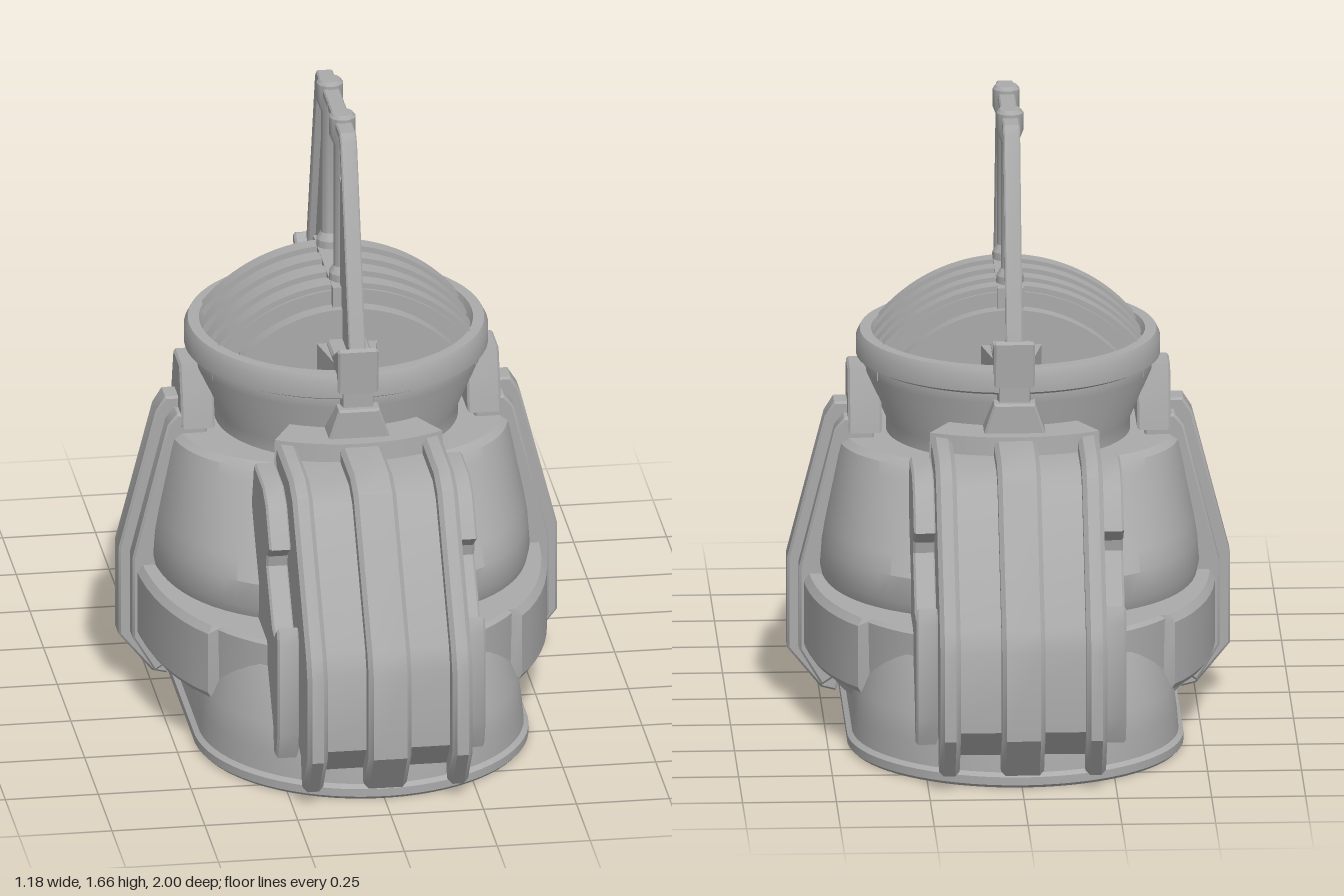
import * as THREE from 'three';
import { toCreasedNormals } from 'three/addons/utils/BufferGeometryUtils.js';

const metal = new THREE.MeshStandardMaterial({ color: 0xaaaaaa });
metal.name = 'grey metal';

function add(parent, name, geo, crease = 0.5) {
  const mesh = new THREE.Mesh(toCreasedNormals(geo, crease), metal);
  mesh.name = name;
  parent.add(mesh);
  return mesh;
}

// Point on a stadium (n = 0) or a superellipse of exponent n, optionally cut at |z| = clip
function outline(t, hx, hz, n, clip) {
  const c = Math.cos(t), s = Math.sin(t);
  if (!n) return [hx * c, hx * s + Math.sign(s) * (hz - hx)];
  const x = hx * Math.sign(c) * Math.abs(c) ** (2 / n);
  const z = hz * Math.sign(s) * Math.abs(s) ** (2 / n);
  return [x, THREE.MathUtils.clamp(z, -clip, clip)];
}

// Capped skin through horizontal sections [y, halfX, halfZ]
function loft(sections, n = 0, clip = 9, seg = 72) {
  const pos = [], idx = [];
  sections.forEach(([y, hx, hz]) => {
    for (let j = 0; j < seg; j++) {
      const [x, z] = outline(((j + 0.5) / seg) * Math.PI * 2, hx, hz, n, clip);
      pos.push(x, y, z);
    }
  });
  const last = (sections.length - 1) * seg, mid = sections.length * seg;
  pos.push(0, sections[0][0], 0, 0, sections.at(-1)[0], 0);
  for (let j = 0; j < seg; j++) {
    const k = (j + 1) % seg;
    for (let i = 0; i < last; i += seg) {
      idx.push(i + j, i + seg + j, i + k, i + k, i + seg + j, i + seg + k);
    }
    idx.push(mid, j, k, mid + 1, last + k, last + j);
  }
  const geo = new THREE.BufferGeometry();
  geo.setAttribute('position', new THREE.Float32BufferAttribute(pos, 3));
  geo.setIndex(idx);
  return geo;
}

// Plate from a side outline of [distance outward, height]; it faces +x, or +z when turned
function slab(pts, width, bevel = 0, turned = true) {
  const shape = new THREE.Shape(pts.map(p => new THREE.Vector2(...p)));
  const geo = new THREE.ExtrudeGeometry(shape, {
    depth: width - 2 * bevel, bevelEnabled: bevel > 0, bevelSize: bevel,
    bevelThickness: bevel, bevelOffset: -bevel, bevelSegments: 1,
  });
  geo.translate(0, 0, bevel - width / 2);
  return turned ? geo.rotateY(-Math.PI / 2) : geo;
}

function lathe(pts, seg = 48) {
  return new THREE.LatheGeometry(pts.map(p => new THREE.Vector2(...p)), seg);
}

// Front arm: heavy ribs, recessed filling and notched cheek plates
function buildArm() {
  const arm = new THREE.Group();
  const rib = [[0.36, 0.7], [0.6, 0.2], [0.86, 0.12], [0.88, 0.04], [0.91, 0.04], [1, 0.16],
    [1, 0.4], [0.975, 0.46], [0.72, 0.81], [0.65, 0.84], [0.42, 0.84]];
  const fill = [[0.36, 0.7], [0.6, 0.2], [0.84, 0.1], [0.88, 0.09], [0.95, 0.17],
    [0.95, 0.39], [0.925, 0.45], [0.69, 0.77], [0.63, 0.8], [0.4, 0.8]];
  const cheek = [[0.34, 0.6], [0.5, 0.2], [0.76, 0.1], [0.81, 0.1], [0.84, 0.18], [0.84, 0.44],
    [0.82, 0.48], [0.77, 0.44], [0.735, 0.45], [0.63, 0.58], [0.635, 0.61], [0.69, 0.65],
    [0.62, 0.75], [0.56, 0.78], [0.4, 0.78]];
  add(arm, 'armFilling', slab(fill, 0.4));
  add(arm, 'armCentreRib', slab(rib, 0.115, 0.012));
  for (const s of [-1, 1]) {
    add(arm, 'armOuterRib', slab(rib, 0.055, 0.012)).position.x = s * 0.195;
    add(arm, 'armCheekPlate', slab(cheek, 0.06, 0.006)).position.x = s * 0.25;
  }
  add(arm, 'armLedge', new THREE.CylinderGeometry(0.47, 0.48, 0.12, 20, 1, false, -0.5, 1))
    .position.y = 0.79;
  return arm;
}

// Side rib: wide strap with a narrow raised spine
function buildSideRib() {
  const rib = new THREE.Group();
  const spine = [[0.38, 0.7], [0.46, 0.3], [0.44, 0.1], [0.46, 0.03], [0.5, 0.04], [0.59, 0.15],
    [0.59, 0.4], [0.49, 0.79], [0.465, 0.83], [0.38, 0.83]];
  const strap = [[0.36, 0.7], [0.44, 0.3], [0.44, 0.1], [0.5, 0.06], [0.56, 0.16],
    [0.56, 0.39], [0.465, 0.77], [0.44, 0.8], [0.36, 0.8]];
  add(rib, 'sideRibSpine', slab(spine, 0.075, 0.006, false));
  add(rib, 'sideRibStrap', slab(strap, 0.18, 0.006, false));
  return rib;
}

// Tapered clasp holding the neck
function buildClasp() {
  const shape = [[-0.1, 0.76], [0.1, 0.76], [0.085, 0.84], [0.055, 0.93], [-0.055, 0.93], [-0.085, 0.84]];
  return slab(shape, 0.09, 0.006, false).translate(0, 0, 0.385);
}

// One half of the antenna frame, on the +z side
function buildMast() {
  const mast = new THREE.Group();
  const column = lathe([[0.036, 1.14], [0.036, 1.2], [0.024, 1.22], [0.024, 1.57], [0.036, 1.6],
    [0.036, 1.65], [0.028, 1.66], [0, 1.66]], 20);
  add(mast, 'mastColumn', column).position.z = 0.115;
  const strut = [[0, 1.618], [0.2, 1.618], [0.215, 1.605], [0.37, 1.06], [0.4, 1.06],
    [0.235, 1.62], [0.215, 1.642], [0, 1.642]];
  add(mast, 'mastStrut', slab(strut, 0.045, 0.004));
  const fin = [[0.155, 1], [0.32, 1], [0.3, 1.1], [0.2, 1.44], [0.18, 1.475], [0.15, 1.485]];
  add(mast, 'mastFin', slab(fin, 0.024));
  const foot = [[0.2, 0.97], [0.41, 0.97], [0.415, 1.09], [0.4, 1.095], [0.3, 1.04], [0.2, 1.04]];
  add(mast, 'mastFoot', slab(foot, 0.11, 0.006));
  // gusset widening towards the drum
  const gusset = new THREE.Shape([[-0.085, 0.18], [0.085, 0.18], [0.04, 0.41], [-0.04, 0.41]]
    .map(p => new THREE.Vector2(...p)));
  const gussetGeo = new THREE.ExtrudeGeometry(gusset, { depth: 0.1, bevelEnabled: false });
  add(mast, 'mastGusset', gussetGeo.rotateX(Math.PI / 2)).position.y = 1.03;
  return mast;
}

// Arched slice of the drum that sits in the collar
function drumSlice(radius, width) {
  const shape = new THREE.Shape();
  const a = Math.asin(0.26 / radius), x = radius * Math.cos(a);
  shape.moveTo(-x, 0.92);
  shape.lineTo(x, 0.92);
  shape.absarc(0, 0.74, radius, a, Math.PI - a, false);
  const geo = new THREE.ExtrudeGeometry(shape, { depth: width, bevelEnabled: false, curveSegments: 28 });
  return geo.translate(0, 0, -width / 2);
}

export function createModel() {
  const model = new THREE.Group();
  model.name = 'domedMachine';

  // Foot with a recessed underside
  add(model, 'foot', loft([[0.06, 0.36, 0.79], [0.02, 0.37, 0.8], [0, 0.38, 0.81], [0, 0.44, 0.885],
    [0.008, 0.448, 0.892], [0.03, 0.448, 0.892], [0.04, 0.435, 0.88], [0.1, 0.43, 0.875],
    [0.17, 0.42, 0.865], [0.3, 0.38, 0.78]]));
  add(model, 'undersideHub', lathe([[0, 0.015], [0.18, 0.015], [0.195, 0.025], [0.195, 0.07]]));
  for (const s of [-1, 1]) {
    add(model, 'undersideStep', new THREE.BoxGeometry(0.05, 0.05, 0.8)).position.set(s * 0.35, 0.045, 0);
  }

  // Hull: lower skirt, waist band with a thicker middle, tapering shell
  add(model, 'skirt', loft([[0.1, 0.48, 0.62], [0.18, 0.5, 0.65]], 2.3, 0.5));
  add(model, 'waistBand', loft([[0.17, 0.52, 0.73], [0.36, 0.525, 0.73], [0.37, 0.515, 0.72]], 2.3));
  add(model, 'waistPanel', loft([[0.165, 0.54, 0.74], [0.18, 0.55, 0.75], [0.35, 0.55, 0.75],
    [0.37, 0.535, 0.735]], 2.3, 0.53));
  add(model, 'shell', loft([[0.36, 0.5, 0.54], [0.4, 0.508, 0.56], [0.47, 0.503, 0.56],
    [0.52, 0.495, 0.52], [0.6, 0.48, 0.455], [0.7, 0.462, 0.385], [0.73, 0.455, 0.365],
    [0.745, 0.435, 0.345]], 2.4));

  // Neck, collar and dish
  add(model, 'neckAndCollar', lathe([[0.325, 0.73], [0.325, 0.78], [0.385, 0.92], [0.385, 0.945],
    [0.405, 0.955], [0.405, 1.0], [0.395, 1.02], [0.365, 1.02], [0.345, 0.97], [0.28, 0.95],
    [0.27, 0.93], [0, 0.93]], 64));

  // Ribbed drum and its spine
  add(model, 'drumCore', drumSlice(0.385, 0.4));
  add(model, 'drumShell', drumSlice(0.425, 0.32));
  for (const z of [-0.13, -0.045, 0.045, 0.13]) {
    add(model, 'drumRib', drumSlice(0.44, 0.045)).position.z = z;
  }
  add(model, 'drumSpine', new THREE.BoxGeometry(0.07, 0.12, 0.36)).position.y = 1.12;

  // Parts repeated front and back, and on both sides
  for (const turn of [0, Math.PI]) {
    const parts = { arm: buildArm(), sideRib: buildSideRib(), mast: buildMast() };
    for (const [name, part] of Object.entries(parts)) {
      part.name = name;
      part.rotation.y = turn;
      model.add(part);
    }
    for (const quarter of [0, Math.PI / 2]) {
      add(model, 'neckClasp', buildClasp()).rotation.y = turn + quarter;
    }
  }
  return model;
}
